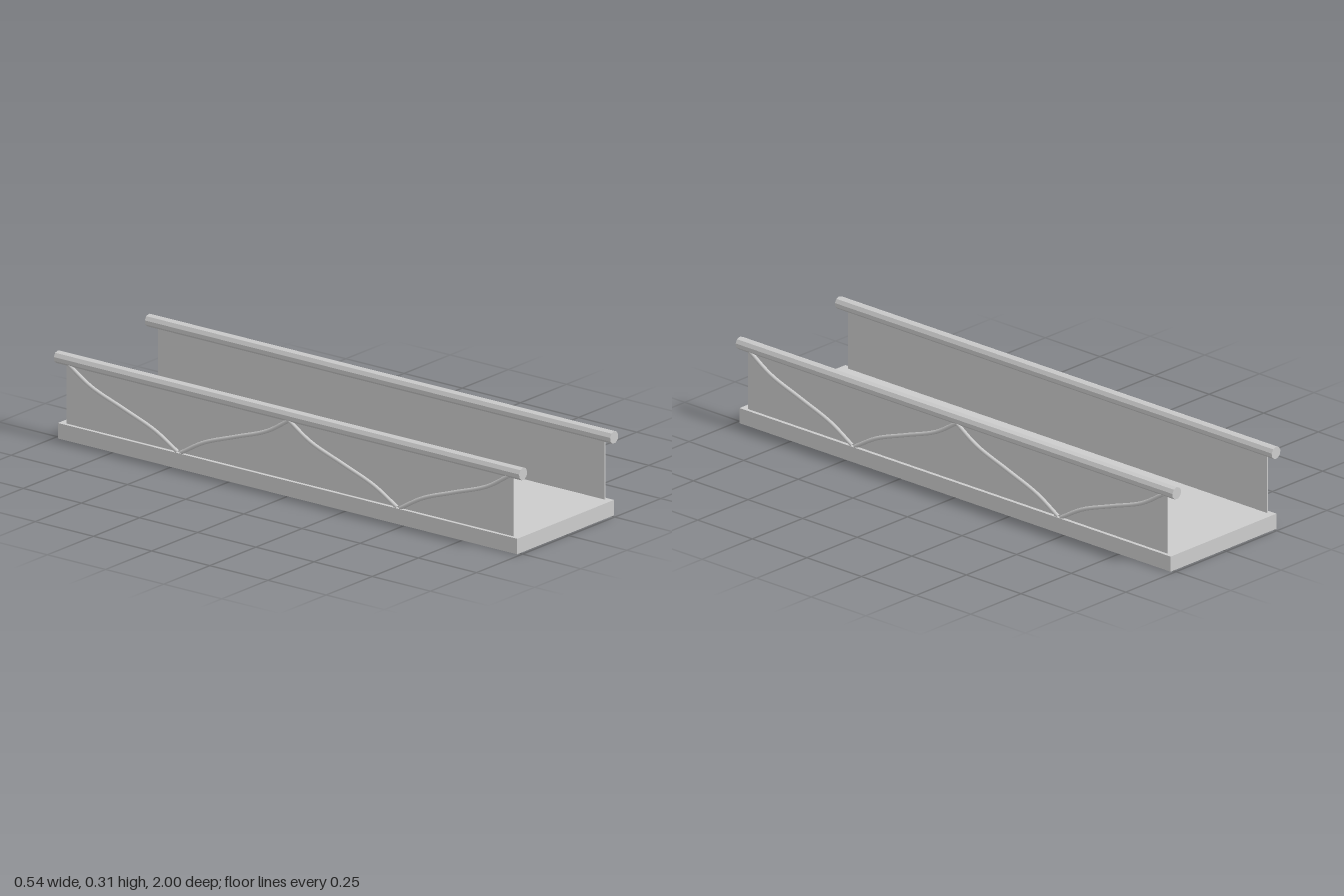
import * as THREE from 'three';

const material = new THREE.MeshStandardMaterial({ color: 0xcccccc, flatShading: true });
const smooth = new THREE.MeshStandardMaterial({ color: 0xcccccc });

function add(parent, name, geometry, x, y, z, mat = material) {
  const mesh = new THREE.Mesh(geometry, mat);
  mesh.name = name;
  mesh.position.set(x, y, z);
  parent.add(mesh);
  return mesh;
}

// S-shaped brace from a peak under the handrail down to a valley at the deck
function braceGeometry(zPeak, zValley) {
  const profile = [[0, 0.268], [0.2, 0.211], [0.5, 0.161], [0.79, 0.112], [1, 0.056]];
  const points = profile.map(([t, y]) =>
    new THREE.Vector3(0, y, THREE.MathUtils.lerp(zPeak, zValley, t)));
  return new THREE.TubeGeometry(new THREE.CatmullRomCurve3(points), 24, 0.007, 8, false);
}

export function createModel() {
  const bridge = new THREE.Group();
  bridge.name = 'footbridge';

  const halfW = 0.263, halfL = 0.987, frameH = 0.027, beam = 0.03;

  // Deck slab
  add(bridge, 'deck', new THREE.BoxGeometry(halfW * 2, 0.028, halfL * 2), 0, frameH + 0.014, 0);

  // Rectangular under-frame
  const outline = new THREE.Shape();
  outline.moveTo(-halfW, -halfL).lineTo(halfW, -halfL).lineTo(halfW, halfL).lineTo(-halfW, halfL).closePath();
  const w = halfW - beam, l = halfL - beam;
  const opening = new THREE.Path();
  opening.moveTo(-w, -l).lineTo(-w, l).lineTo(w, l).lineTo(w, -l).closePath();
  outline.holes.push(opening);
  const frame = new THREE.ExtrudeGeometry(outline, { depth: frameH, bevelEnabled: false });
  frame.rotateX(-Math.PI / 2);
  add(bridge, 'underFrame', frame, 0, 0, 0);

  // Cross beams dividing the frame into five bays
  for (let i = 1; i < 5; i++) {
    add(bridge, 'crossBeam', new THREE.BoxGeometry(w * 2, frameH, beam),
      0, frameH / 2, -halfL + (i * halfL * 2) / 5);
  }

  // Both parapets: infill panel, handrail and outer braces
  for (const side of [1, -1]) {
    const parapet = new THREE.Group();
    parapet.name = side > 0 ? 'leftParapet' : 'rightParapet';
    bridge.add(parapet);

    add(parapet, 'panel', new THREE.BoxGeometry(0.004, 0.22, 1.92), side * 0.248, 0.165, 0);

    // Nine-sided rail with one corner pointing up
    const rail = new THREE.CylinderGeometry(0.0222, 0.0222, 2, 9);
    rail.rotateX(-Math.PI / 2);
    rail.rotateZ(Math.PI);
    const p = rail.attributes.position;
    let low = 0;
    for (let i = 0; i < p.count; i++) low = Math.min(low, p.getY(i));
    if (low < -0.0221) rail.rotateZ(Math.PI);
    add(parapet, 'handrail', rail, side * 0.247, 0.284, 0);

    for (const end of [1, -1]) {
      for (const [peak, valley] of [[0.945, 0.478], [0, 0.465]]) {
        add(parapet, 'brace', braceGeometry(end * peak, end * valley), side * 0.2555, 0, 0, smooth);
      }
    }
  }
  return bridge;
}
